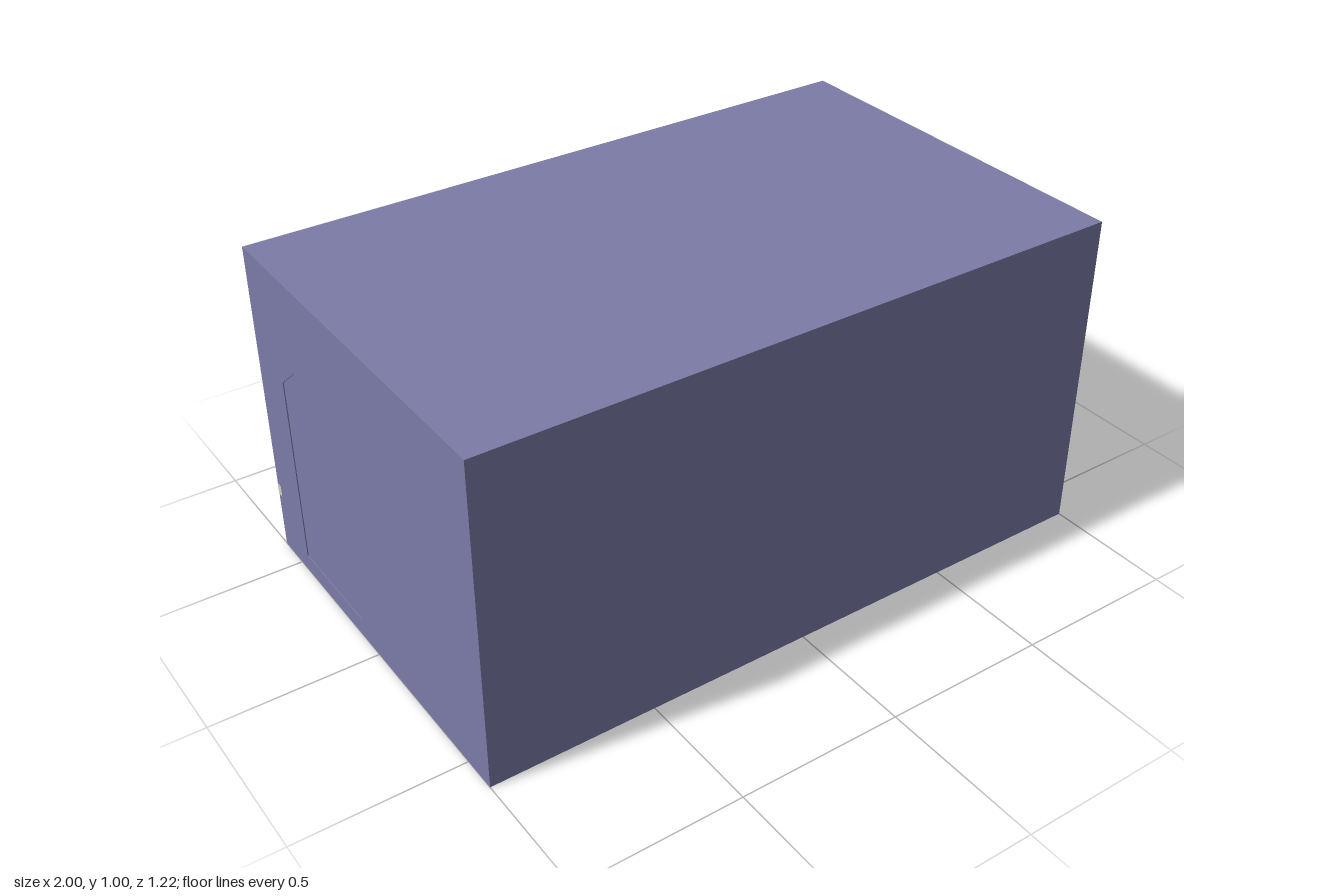
import * as THREE from 'three';

const mat = (name, color) => {
  const m = new THREE.MeshStandardMaterial({ color });
  m.name = name;
  return m;
};

export function createModel() {
  const wallPaint = mat('wallPaint', 0x7b7ba8);
  const cream = mat('cream', 0xd2cfc0);
  const blue = mat('machineBlue', 0x264fc4);
  const steel = mat('steel', 0xa3b2c6);
  const grey = mat('panelGrey', 0x9a9aa8);

  const model = new THREE.Group();
  const room = new THREE.Group();
  room.name = 'room';
  const machine = new THREE.Group();
  machine.name = 'metalLathe';
  model.add(room, machine);

  const add = (parent, name, geo, material) => {
    const m = new THREE.Mesh(geo, material);
    m.name = name;
    parent.add(m);
    return m;
  };
  // Box given by its limits on each axis
  const box = (parent, name, material, x0, x1, y0, y1, z0, z1) => {
    const m = add(parent, name, new THREE.BoxGeometry(x1 - x0, y1 - y0, z1 - z0), material);
    m.position.set((x0 + x1) / 2, (y0 + y1) / 2, (z0 + z1) / 2);
    return m;
  };
  // Cylinder lying along x
  const rod = (name, material, x0, x1, y, z, r, sides = 20) => {
    const g = new THREE.CylinderGeometry(r, r, x1 - x0, sides).rotateZ(Math.PI / 2);
    add(machine, name, g, material).position.set((x0 + x1) / 2, y, z);
  };
  // Outline in (z, y) extruded along x
  const toPoints = (list) => list.map(([z, y]) => new THREE.Vector2(-z, y));
  const slab = (parent, name, material, outline, x0, x1, hole) => {
    const s = new THREE.Shape(toPoints(outline));
    if (hole) s.holes.push(new THREE.Path(toPoints(hole)));
    const g = new THREE.ExtrudeGeometry(s, { depth: x1 - x0, bevelEnabled: false });
    add(parent, name, g.rotateY(Math.PI / 2).translate(x0, 0, 0), material);
  };

  // Room shell, open at the back
  box(room, 'floor', wallPaint, -0.94, 0.94, 0, 0.05, -0.61, 0.61);
  box(room, 'roof', wallPaint, -0.94, 0.94, 0.95, 1, -0.61, 0.61);
  box(room, 'frontWall', wallPaint, -0.94, 0.94, 0.05, 0.95, 0.55, 0.61);

  // Side walls with arched doors and a painted line
  const wall = [[0.61, 0], [-0.61, 0], [-0.61, 1], [0.61, 1]];
  const arch = [[-0.1, 0.055], [-0.45, 0.055], [-0.45, 0.65], [-0.36, 0.725],
    [-0.275, 0.745], [-0.185, 0.725], [-0.1, 0.65]];
  for (const s of [-1, 1]) {
    const side = s > 0 ? 'left' : 'right';
    const a = Math.min(s, s * 0.94), b = Math.max(s, s * 0.94);
    slab(room, side + 'Wall', wallPaint, wall, a, b, arch);
    slab(room, side + 'Door', wallPaint, arch, a + 0.003, b - 0.003);
    const i0 = Math.min(s * 0.94, s * 0.936), i1 = i0 + 0.004;
    box(room, side + 'StripeFront', cream, i0, i1, 0.18, 0.225, -0.1, 0.55);
    box(room, side + 'StripeBack', cream, i0, i1, 0.18, 0.225, -0.61, -0.455);
    box(room, side + 'StripeEnd', cream, a, b, 0.18, 0.225, -0.612, -0.608);
    const o = s * 1.0;
    box(room, side + 'StripeOuter', cream, o - 0.001, o + 0.001, 0.185, 0.22, -0.61, -0.587);
  }
  box(room, 'frontStripe', cream, -0.94, 0.94, 0.18, 0.225, 0.546, 0.55);

  // Ceiling lights
  for (const x of [-0.77, 0.17])
    box(room, 'ceilingLight', cream, x, x + 0.67, 0.915, 0.95, -0.42, -0.06);

  // Lathe base on two feet
  box(machine, 'headFoot', blue, 0.53, 0.938, 0.05, 0.24, 0.13, 0.46);
  box(machine, 'tailFoot', blue, -0.15, 0.16, 0.05, 0.1, 0.13, 0.46);
  slab(machine, 'bed', blue, [[0.13, 0.09], [0.46, 0.09], [0.46, 0.3], [0.22, 0.24], [0.13, 0.235]], -0.15, 0.53);
  slab(machine, 'endGuard', blue, [[0.13, 0.09], [0.46, 0.09], [0.46, 0.55], [0.27, 0.46], [0.13, 0.31]], -0.15, -0.1);
  box(machine, 'splashGuard', blue, -0.1, 0.53, 0.28, 0.57, 0.44, 0.46);

  // Headstock with its control panel
  box(machine, 'headstock', blue, 0.53, 0.938, 0.24, 0.64, 0.13, 0.46);
  box(machine, 'controlPanel', grey, 0.605, 0.865, 0.31, 0.58, 0.124, 0.13);
  const knob = (x, y, r) => add(machine, 'panelKnob',
    new THREE.CylinderGeometry(r, r, 0.012, 16).rotateX(Math.PI / 2), steel).position.set(x, y, 0.118);
  knob(0.76, 0.525, 0.024);
  for (const x of [0.65, 0.7, 0.77, 0.82]) {
    knob(x, 0.37, 0.007);
    knob(x, 0.43, 0.007);
  }

  // Chuck, ways and feed rods
  rod('chuck', steel, 0.43, 0.53, 0.5, 0.31, 0.075, 24);
  rod('spindleNose', steel, 0.38, 0.43, 0.5, 0.31, 0.035);
  rod('upperFeedRod', steel, -0.1, 0.53, 0.355, 0.21, 0.011);
  rod('leadScrew', steel, -0.1, 0.53, 0.315, 0.2, 0.009);
  rod('lowerFeedRod', steel, -0.1, 0.53, 0.275, 0.19, 0.011);
  box(machine, 'rearWay', steel, -0.1, 0.53, 0.36, 0.385, 0.36, 0.4);
  box(machine, 'wayBase', blue, -0.1, 0.53, 0.24, 0.36, 0.3, 0.42);

  // Carriage with apron, handwheel and tool post
  box(machine, 'apron', steel, -0.04, 0.17, 0.26, 0.37, 0.165, 0.24);
  box(machine, 'saddle', blue, -0.05, 0.18, 0.37, 0.4, 0.165, 0.4);
  box(machine, 'toolPost', steel, 0.24, 0.31, 0.385, 0.5, 0.28, 0.36);
  box(machine, 'crossSlide', steel, 0.1, 0.32, 0.385, 0.41, 0.27, 0.4);
  add(machine, 'handwheelRim', new THREE.TorusGeometry(0.055, 0.009, 8, 28), steel).position.set(0.12, 0.32, 0.145);
  add(machine, 'handwheelDisc', new THREE.CylinderGeometry(0.05, 0.05, 0.012, 28).rotateX(Math.PI / 2), grey)
    .position.set(0.12, 0.32, 0.15);
  add(machine, 'handwheelHub', new THREE.CylinderGeometry(0.016, 0.016, 0.05, 16).rotateX(Math.PI / 2), steel)
    .position.set(0.12, 0.32, 0.145);

  // Tailstock
  box(machine, 'tailstock', blue, -0.08, 0.05, 0.385, 0.53, 0.28, 0.4);
  rod('tailstockQuill', steel, 0.05, 0.13, 0.49, 0.32, 0.022);

  return model;
}
